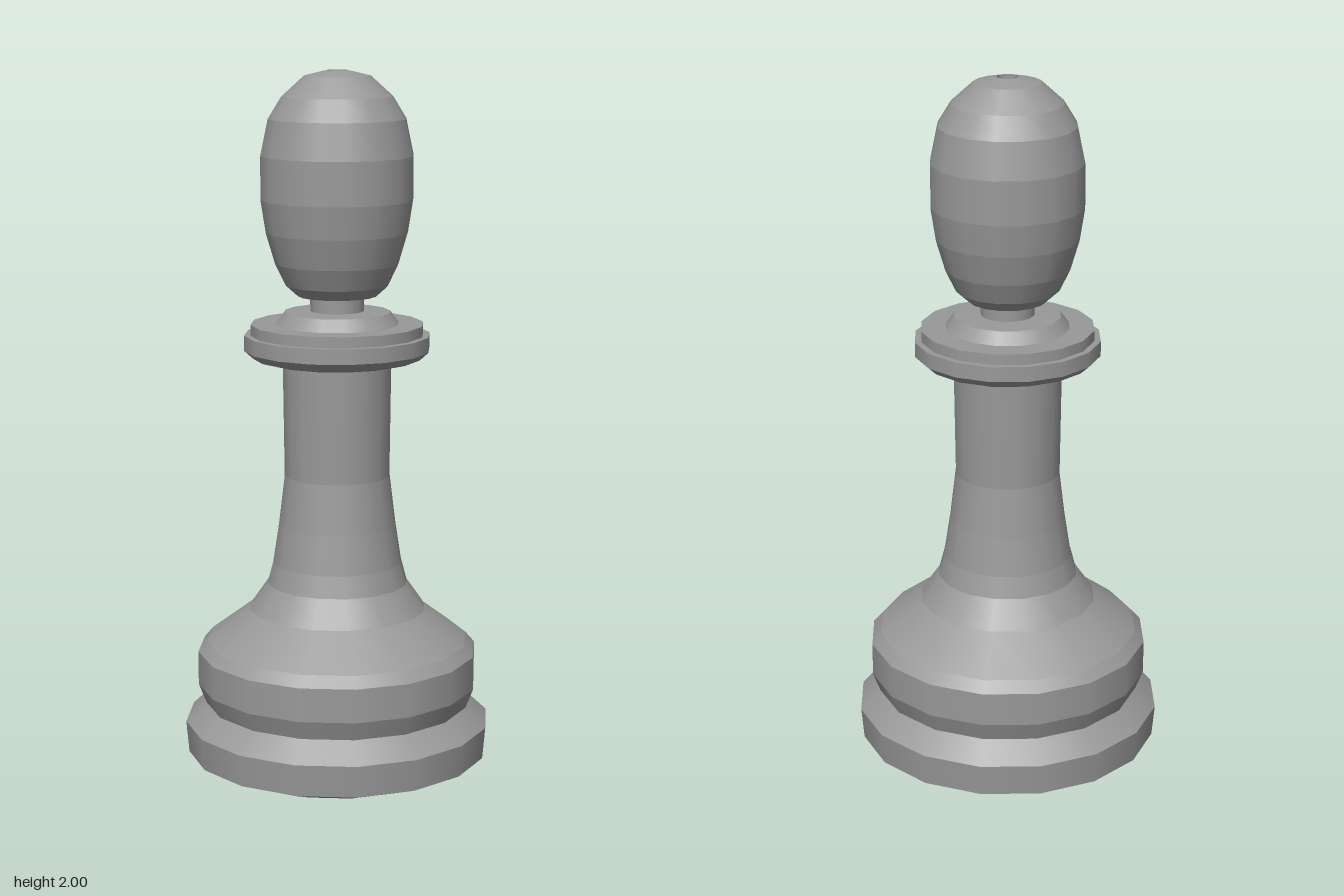
import * as THREE from 'three';
import { mergeGeometries } from 'three/addons/utils/BufferGeometryUtils.js';

const SIDES = 16;
const TURN = THREE.MathUtils.degToRad(-4.5);

const material = new THREE.MeshStandardMaterial({ color: 0x999999, side: THREE.DoubleSide });

// Turned part: smooth around the axis, with a crisp edge at every profile ring.
// The profile lists [radius, height] from the bottom upwards.
function turned(name, profile) {
  const bands = [];
  for (let i = 0; i < profile.length - 1; i++) {
    const pair = [profile[i], profile[i + 1]].map(([r, y]) => new THREE.Vector2(r, y));
    const band = new THREE.LatheGeometry(pair, SIDES, TURN, Math.PI * 2);
    band.normalizeNormals();
    bands.push(band);
  }
  const mesh = new THREE.Mesh(mergeGeometries(bands), material);
  mesh.name = name;
  return mesh;
}

export function createModel() {
  const group = new THREE.Group();
  group.name = 'chessPiece';

  // Shallow domed foot with a chamfered upper lip
  group.add(turned('foot', [
    [0, 0], [0.1, 0.005], [0.3, 0.03], [0.425, 0.08],
    [0.433, 0.17], [0.375, 0.225],
  ]));

  // Bulging belly above the groove
  group.add(turned('belly', [
    [0.375, 0.225], [0.396, 0.28], [0.396, 0.375], [0.37, 0.405],
    [0.25, 0.495], [0.198, 0.57],
  ]));

  // Tapering column
  group.add(turned('stem', [
    [0.198, 0.57], [0.182, 0.63], [0.165, 0.74], [0.148, 0.88], [0.15, 1.04], [0.152, 1.205],
  ]));

  // Stepped collar and narrow neck
  group.add(turned('collar', [
    [0.152, 1.203], [0.205, 1.205], [0.235, 1.213], [0.259, 1.235], [0.259, 1.277], [0.241, 1.277],
    [0.241, 1.307], [0.172, 1.307], [0.148, 1.34], [0.075, 1.343],
  ]));
  group.add(turned('neck', [[0.075, 1.343], [0.075, 1.385]]));

  // Egg-shaped head with a small hole bored in the top
  group.add(turned('head', [
    [0.075, 1.38], [0.11, 1.385], [0.143, 1.415], [0.172, 1.475], [0.197, 1.56],
    [0.211, 1.65], [0.211, 1.77], [0.19, 1.87], [0.153, 1.93], [0.092, 1.985],
    [0.03, 2], [0.03, 1.9], [0, 1.9],
  ]));

  return group;
}
